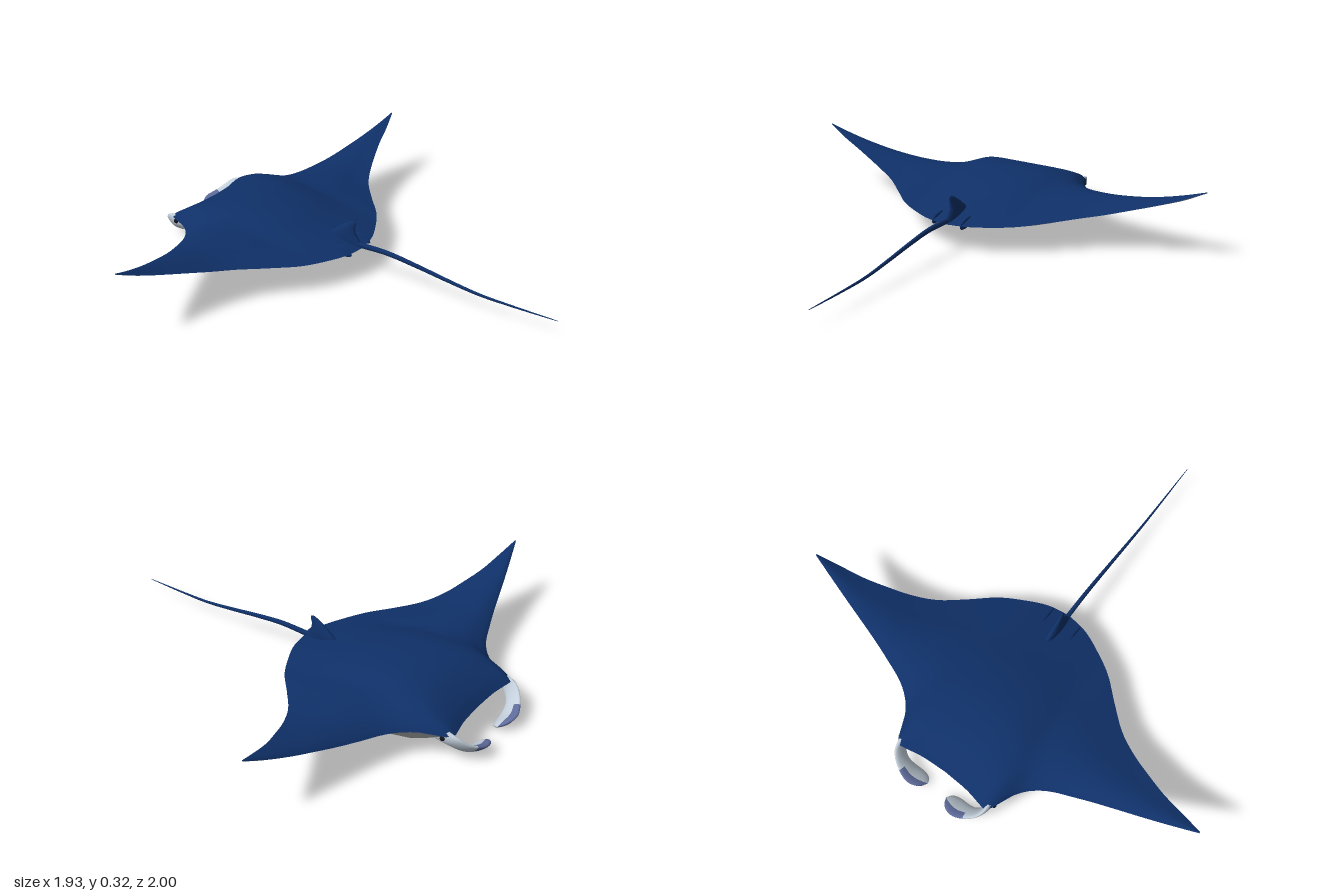
import * as THREE from 'three';

const mat = (name, color, side = THREE.FrontSide) => {
  const m = new THREE.MeshStandardMaterial({ color, side });
  m.name = name;
  return m;
};

// Smooth curve through [position, value] pairs
function sample(table, p) {
  const n = table.length;
  if (p >= table[n - 1][0]) return table[n - 1][1];
  let k = 0;
  while (k < n - 2 && p > table[k + 1][0]) k++;
  const slope = (i) => {
    const a = table[Math.max(0, i - 1)], b = table[Math.min(n - 1, i + 1)];
    return (b[1] - a[1]) / (b[0] - a[0]);
  };
  const [x0, y0] = table[k], [x1, y1] = table[k + 1];
  const h = x1 - x0, t = (p - x0) / h, t2 = t * t, t3 = t2 * t;
  return y0 * (2 * t3 - 3 * t2 + 1) + y1 * (3 * t2 - 2 * t3)
    + h * (slope(k) * (t3 - 2 * t2 + t) + slope(k + 1) * (t3 - t2));
}

// Surface through rows of points; closed rows wrap round into a tube.
// pick(i, j) chooses the material index of each face.
function loft(rows, { closed = false, flip = false, pick = () => 0 } = {}) {
  const c = rows[0].length, buckets = [[], []];
  for (let i = 0; i < rows.length - 1; i++) {
    for (let j = 0; j < (closed ? c : c - 1); j++) {
      const k = (j + 1) % c;
      const a = i * c + j, b = a + c, d = i * c + k, e = d + c;
      buckets[pick(i, j)].push(...(flip ? [a, d, b, b, d, e] : [a, b, d, b, e, d]));
    }
  }
  const g = new THREE.BufferGeometry();
  g.setAttribute('position', new THREE.Float32BufferAttribute(rows.flat().flatMap((v) => [v.x, v.y, v.z]), 3));
  g.setIndex(buckets.flat());
  g.addGroup(0, buckets[0].length, 0);
  if (buckets[1].length) g.addGroup(buckets[0].length, buckets[1].length, 1);
  g.computeVertexNormals();
  return g;
}

// Planform and heights, each against distance from the centre line
const LEAD = [[0, -0.85], [0.12, -0.857], [0.2, -0.872], [0.235, -0.875], [0.26, -0.835], [0.285, -0.77],
  [0.33, -0.71], [0.4, -0.66], [0.5, -0.62], [0.6, -0.585], [0.8, -0.525], [1, -0.464]];
const TRAIL = [[0, 0.022], [0.1, 0.005], [0.2, -0.04], [0.3, -0.1], [0.4, -0.19], [0.5, -0.275],
  [0.6, -0.33], [0.7, -0.37], [0.8, -0.405], [0.9, -0.43], [1, -0.458]];
const EDGE = [[0, 0.128], [0.25, 0.135], [0.4, 0.148], [0.5, 0.162], [0.6, 0.182], [0.7, 0.21],
  [0.8, 0.24], [0.9, 0.276], [1, 0.32]];
const TOP = [[0, 0.246], [0.13, 0.24], [0.2, 0.228], [0.26, 0.21], [0.32, 0.203], [0.5, 0.205],
  [0.6, 0.216], [0.7, 0.232], [0.8, 0.256], [0.9, 0.287], [1, 0.322]];
const BOTTOM = [[0, 0.006], [0.13, 0.012], [0.23, 0.03], [0.3, 0.058], [0.4, 0.095], [0.5, 0.125],
  [0.6, 0.156], [0.7, 0.19], [0.8, 0.226], [0.9, 0.266], [1, 0.318]];
// Thickness from nose to rear edge
const BACK = [[0, 0], [0.05, 0.33], [0.17, 0.8], [0.3, 0.99], [0.4, 1], [0.58, 0.8], [0.75, 0.46], [1, 0]];
const BELLY = [[0, 0], [0.08, 0.3], [0.19, 0.78], [0.28, 0.96], [0.38, 1], [0.52, 0.94], [0.75, 0.53], [1, 0]];

function bodySkin(height, thickness, flip) {
  const rows = [], N = 96, M = 40;
  for (let i = 0; i <= N; i++) {
    const z = -1 + (2 * i) / N, s = Math.abs(z);
    const lead = sample(LEAD, s), trail = sample(TRAIL, s);
    const edge = sample(EDGE, s), amp = sample(height, s) - edge;
    const row = [];
    for (let j = 0; j <= M; j++) {
      const t = (1 - Math.cos((Math.PI * j) / M)) / 2;
      row.push(new THREE.Vector3(lead + (trail - lead) * t, edge + amp * sample(thickness, t), z));
    }
    rows.push(row);
  }
  return loft(rows, { flip });
}

export function createModel() {
  const model = new THREE.Group();
  const navy = mat('navy skin', 0x0f3068);
  const pale = mat('pale belly', 0xb4b8b8);
  const white = mat('pale lobe', 0xc4d0dc);
  const slate = mat('slate lobe edge', 0x5f6c9c);
  const black = mat('eye black', 0x10141c);
  const add = (name, geometry, material) => {
    const mesh = new THREE.Mesh(geometry, material);
    mesh.name = name;
    model.add(mesh);
    return mesh;
  };

  // Body and wings
  add('backAndWings', bodySkin(TOP, BACK, false), navy);
  add('bellyAndWingUndersides', bodySkin(BOTTOM, BELLY, true), pale);

  // Whip tail
  const tailPath = new THREE.CatmullRomCurve3([[-0.08, 0.14], [0.02, 0.14], [0.15, 0.141], [0.3, 0.124],
    [0.45, 0.102], [0.6, 0.084], [0.75, 0.08], [0.955, 0.08]].map(([x, y]) => new THREE.Vector3(x, y, 0)));
  const tailRows = [];
  for (let i = 0; i <= 48; i++) {
    const p = tailPath.getPointAt(i / 48);
    const r = 0.013 * (1 - i / 48) ** 0.8 + 0.0012;
    tailRows.push(Array.from({ length: 10 }, (_, j) => {
      const a = (j / 10) * Math.PI * 2;
      return new THREE.Vector3(p.x, p.y + r * Math.cos(a), r * 0.75 * Math.sin(a));
    }));
  }
  add('tail', loft(tailRows, { closed: true, flip: true }), navy);

  // Dorsal fin: level slices [height, front, rear, half width]
  const slices = [[0.13, -0.17, 0.025, 0.02], [0.16, -0.155, 0.005, 0.02], [0.185, -0.125, -0.016, 0.017],
    [0.212, -0.09, -0.018, 0.012], [0.233, -0.057, -0.012, 0.007], [0.243, -0.038, -0.014, 0.004],
    [0.246, -0.026, -0.024, 0.0005]];
  add('dorsalFin', loft(slices.map(([y, x0, x1, w]) => Array.from({ length: 16 }, (_, j) => {
    const a = (j / 16) * Math.PI * 2;
    return new THREE.Vector3((x0 + x1) / 2 - ((x1 - x0) / 2) * Math.cos(a), y, w * Math.sin(a));
  })), { closed: true, flip: true }), navy);

  for (const s of [1, -1]) {
    const side = s > 0 ? 'left' : 'right';

    // Head lobe: flattened paddle curling forward and inward
    const path = new THREE.CatmullRomCurve3([[-0.815, 0.125, 0.235], [-0.87, 0.108, 0.228], [-0.91, 0.075, 0.195],
      [-0.928, 0.045, 0.14], [-0.928, 0.033, 0.09], [-0.922, 0.028, 0.05]]
      .map(([x, y, z]) => new THREE.Vector3(x, y, z * s)));
    const width = [[0, 0.9], [0.3, 0.72], [0.5, 0.75], [0.75, 1], [0.88, 0.85], [0.96, 0.5], [1, 0.02]];
    const rows = [];
    for (let i = 0; i <= 24; i++) {
      const u = i / 24, c = path.getPointAt(u), t = path.getTangentAt(u);
      const w = new THREE.Vector3(0.044, -0.03, 0);
      const n = t.clone().cross(w).normalize();
      const a = sample(width, u), h = 0.013 * Math.min(1, a * 1.2);
      rows.push(Array.from({ length: 16 }, (_, j) => {
        const q = (j / 16) * Math.PI * 2;
        return c.clone().addScaledVector(w, a * Math.cos(q)).addScaledVector(n, h * Math.sin(q));
      }));
    }
    const pick = (i, j) => (i > 12 && Math.cos(((j + 0.5) / 16) * Math.PI * 2) < -0.5 ? 1 : 0);
    add(side + 'HeadLobe', loft(rows, { closed: true, flip: true, pick }), [white, slate]);

    // Eye on the side of the head
    const eye = add(side + 'Eye', new THREE.SphereGeometry(0.011, 16, 10), black);
    eye.scale.z = 0.6;
    eye.position.set(-0.838, 0.122, 0.253 * s);

    // Small upright pelvic fin at the rear edge
    const fin = add(side + 'PelvicFin', new THREE.SphereGeometry(1, 16, 10), navy);
    fin.scale.set(0.055, 0.022, 0.005);
    fin.position.set(-0.04, 0.13, 0.073 * s);
    fin.rotation.z = -0.15;
  }
  return model;
}
